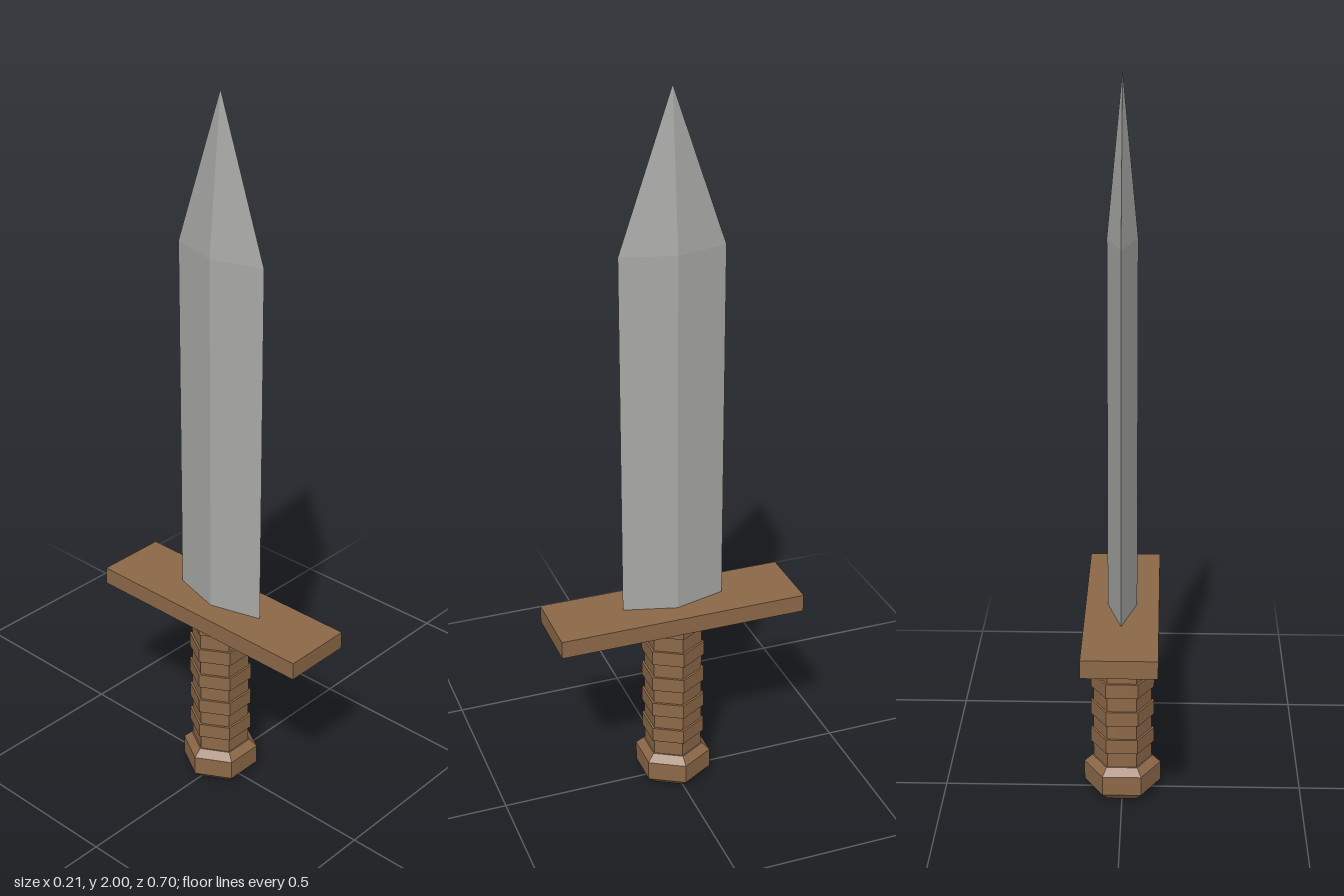
import * as THREE from 'three';

export function createModel() {
  const model = new THREE.Group();
  const steel = new THREE.MeshStandardMaterial({ color: 0xa8a8a6, flatShading: true });
  steel.name = 'steel grey';
  const wood = new THREE.MeshStandardMaterial({ color: 0x8c6848, flatShading: true });
  wood.name = 'wood brown';

  const add = (name, geometry, material, y, parent = model) => {
    const mesh = new THREE.Mesh(geometry, material);
    mesh.name = name;
    mesh.position.y = y;
    parent.add(mesh);
    return mesh;
  };

  // Six-sided section between two heights, with corners on the x axis
  const hexSection = (name, y0, y1, r0, r1, parent) =>
    add(name, new THREE.CylinderGeometry(r1, r0, y1 - y0, 6, 1, false, Math.PI / 6), wood, (y0 + y1) / 2, parent);

  // Diamond-section blade and its point
  const blade = new THREE.Group();
  blade.name = 'blade';
  model.add(blade);
  const body = new THREE.CylinderGeometry(1, 1, 1.015, 4, 1, true).scale(0.04, 1, 0.145);
  add('bladeBody', body, steel, 0.565 + 1.015 / 2, blade);
  const point = new THREE.ConeGeometry(1, 0.42, 4, 1, true).scale(0.04, 1, 0.145);
  add('bladePoint', point, steel, 1.79, blade);

  // Crossguard
  add('guard', new THREE.BoxGeometry(0.2, 0.05, 0.7), wood, 0.54);

  // Grip: a core with raised rings and a collar under the guard
  const grip = new THREE.Group();
  grip.name = 'grip';
  model.add(grip);
  hexSection('gripCore', 0.09, 0.52, 0.081, 0.081, grip);
  for (let i = 0; i < 4; i++) {
    const y = 0.145 + i * 0.085;
    hexSection('gripRing', y, y + 0.042, 0.088, 0.088, grip);
  }
  hexSection('collar', 0.488, 0.515, 0.086, 0.086, grip);

  // Pommel with bevelled top and bottom
  const pommel = new THREE.Group();
  pommel.name = 'pommel';
  model.add(pommel);
  hexSection('pommelBase', 0, 0.024, 0.08, 0.107, pommel);
  hexSection('pommelBody', 0.024, 0.08, 0.107, 0.107, pommel);
  hexSection('pommelTop', 0.08, 0.1, 0.107, 0.085, pommel);

  return model;
}
